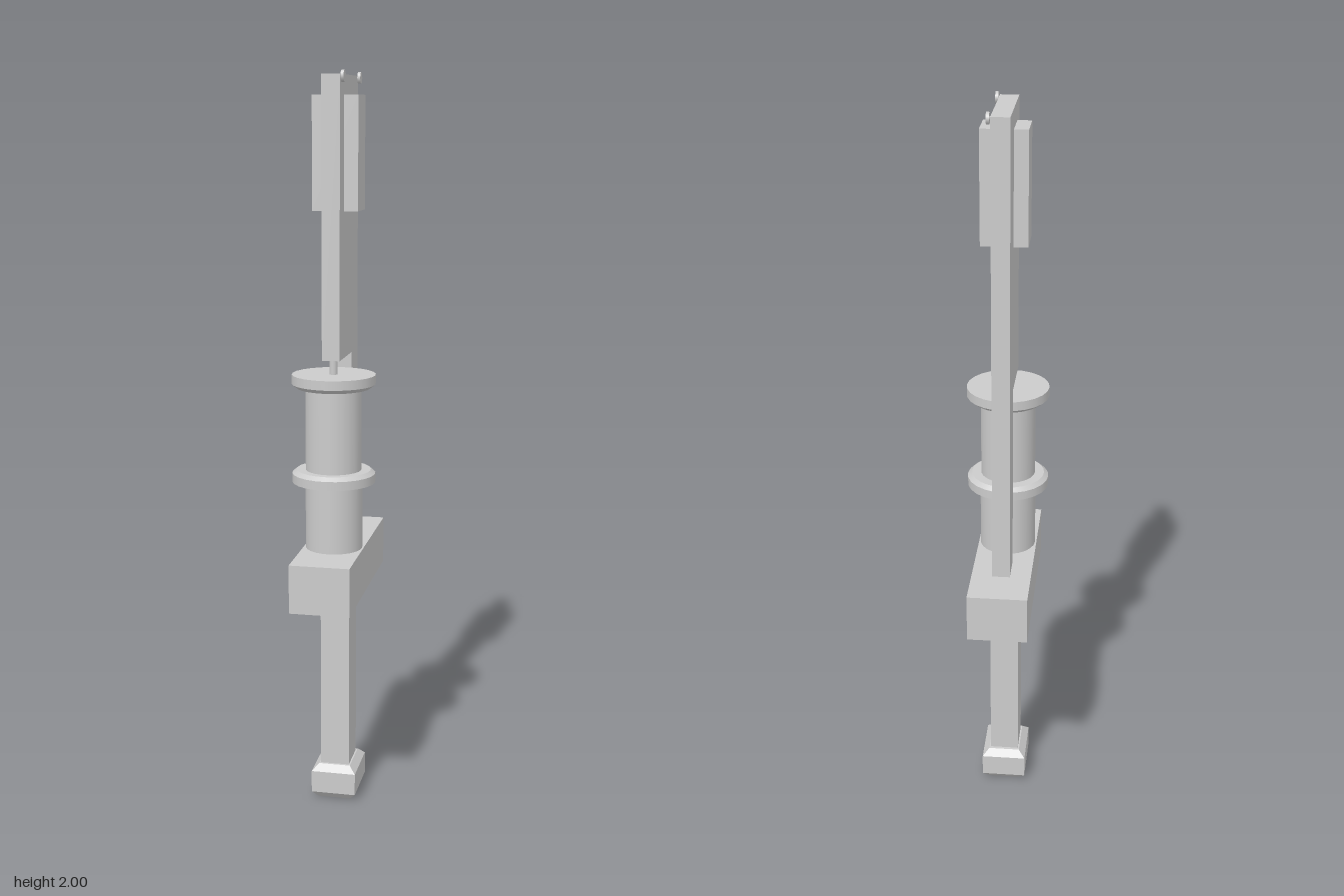
import * as THREE from 'three';

const material = new THREE.MeshStandardMaterial({ color: 0xcccccc });

export function createModel() {
  const group = new THREE.Group();
  const add = (name, geometry, x = 0, y = 0, z = 0) => {
    const mesh = new THREE.Mesh(geometry, material);
    mesh.name = name;
    mesh.position.set(x, y, z);
    group.add(mesh);
    return mesh;
  };
  // Box given by its lower and upper limits on each axis
  const box = (name, [x0, x1], [y0, y1], [z0, z1]) =>
    add(name, new THREE.BoxGeometry(x1 - x0, y1 - y0, z1 - z0), (x0 + x1) / 2, (y0 + y1) / 2, (z0 + z1) / 2);
  // Upright cylinder or cone section between two heights
  const drum = (name, rTop, rBottom, y0, y1, z = 0.064, sides = 24) =>
    add(name, new THREE.CylinderGeometry(rTop, rBottom, y1 - y0, sides), 0, (y0 + y1) / 2, z);
  // Rectangular frustum: a box whose top or bottom face is scaled inwards
  const taper = (name, w, d, y0, y1, topInset, bottomInset) => {
    const g = new THREE.BoxGeometry(w, y1 - y0, d);
    const p = g.attributes.position;
    for (let i = 0; i < p.count; i++) {
      const inset = p.getY(i) > 0 ? topInset : bottomInset;
      p.setX(i, p.getX(i) - Math.sign(p.getX(i)) * inset);
      p.setZ(i, p.getZ(i) - Math.sign(p.getZ(i)) * inset);
    }
    g.computeVertexNormals();
    add(name, g, 0, (y0 + y1) / 2, 0);
  };

  // Chamfered pommel
  taper('pommelBase', 0.124, 0.154, 0, 0.02, 0, 0.017);
  taper('pommelBlock', 0.124, 0.154, 0.02, 0.082, 0, 0);
  taper('pommelShoulder', 0.124, 0.154, 0.082, 0.1, 0.018, 0);

  // Grip and crossguard
  box('grip', [-0.04, 0.04], [0.09, 0.612], [-0.05, 0.052]);
  box('guard', [-0.081, 0.081], [0.61, 0.742], [-0.257, 0.256]);

  // Notched blade, a profile in z and y extruded across x
  const outline = [[-0.142, 0.74], [-0.056, 0.74], [-0.056, 1.26], [0.103, 1.26], [0.103, 1.99], [-0.142, 1.99]];
  const shape = new THREE.Shape(outline.map(([z, y]) => new THREE.Vector2(-z, y)));
  const blade = new THREE.ExtrudeGeometry(shape, { depth: 0.048, bevelEnabled: false });
  blade.translate(0, 0, -0.024).rotateY(Math.PI / 2);
  add('blade', blade);

  // Panel standing proud on both faces of the blade
  box('sidePanels', [-0.061, 0.061], [1.645, 1.94], [-0.05, 0.047]);

  // Spool with two chamfered flanges, and the rod joining it to the blade
  drum('lowerBarrel', 0.077, 0.077, 0.74, 0.93, 0.061);
  drum('lowerFlange', 0.112, 0.112, 0.927, 0.951);
  drum('lowerFlangeChamfer', 0.1, 0.112, 0.951, 0.961);
  drum('upperBarrel', 0.075, 0.075, 0.95, 1.19, 0.067);
  drum('upperFlangeChamfer', 0.112, 0.098, 1.183, 1.194);
  drum('upperFlange', 0.112, 0.112, 1.194, 1.219);
  drum('rod', 0.011, 0.011, 1.21, 1.27, 0.067, 12);

  // Small round studs on the left face at the top corners
  for (const z of [0.09, -0.133]) {
    add('stud', new THREE.CylinderGeometry(0.015, 0.015, 0.008, 12), 0.03, 1.985, z).rotation.z = Math.PI / 2;
    add('studStem', new THREE.CylinderGeometry(0.005, 0.005, 0.006, 8), 0.025, 1.985, z).rotation.z = Math.PI / 2;
  }
  return group;
}
